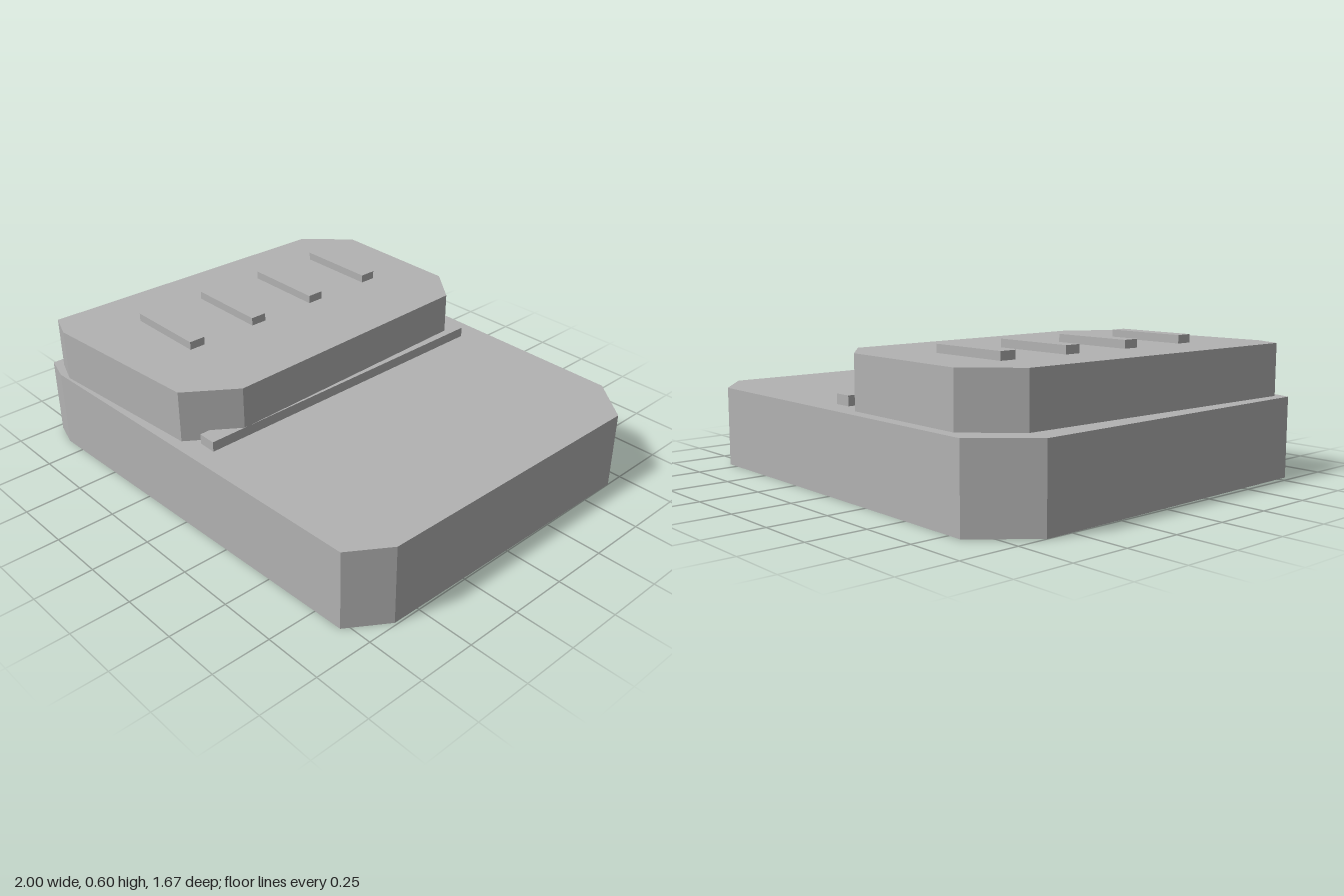
import * as THREE from 'three';

export function createModel() {
  const group = new THREE.Group();
  const grey = new THREE.MeshStandardMaterial({ color: 0xb2b2b2, flatShading: true });
  grey.name = 'stone grey';

  const add = (name, geometry) => {
    const mesh = new THREE.Mesh(geometry, grey);
    mesh.name = name;
    group.add(mesh);
    return mesh;
  };

  // Upright slab from an [x, z] outline
  const slab = (name, outline, y0, y1) => {
    const shape = new THREE.Shape(outline.map(([x, z]) => new THREE.Vector2(x, -z)));
    const geometry = new THREE.ExtrudeGeometry(shape, { depth: y1 - y0, bevelEnabled: false });
    geometry.rotateX(-Math.PI / 2).translate(0, y0, 0);
    return add(name, geometry);
  };

  const box = (name, x0, x1, y0, y1, z0, z1) =>
    add(name, new THREE.BoxGeometry(x1 - x0, y1 - y0, z1 - z0))
      .position.set((x0 + x1) / 2, (y0 + y1) / 2, (z0 + z1) / 2);

  // Wide base with uneven chamfered corners
  slab('baseSlab', [
    [-1, -0.62], [-0.81, -0.84], [0.81, -0.82], [1, -0.665],
    [0.99, 0.615], [0.88, 0.78], [-0.85, 0.835], [-0.97, 0.8],
  ], 0, 0.343);

  // Raised block on one side
  slab('upperSlab', [
    [-0.89, -0.6], [-0.715, -0.787], [-0.11, -0.776], [0.055, -0.645],
    [0.09, 0.56], [-0.055, 0.765], [-0.8, 0.822], [-0.92, 0.777],
  ], 0.343, 0.565);

  // Thin strip along the step
  box('stepStrip', 0.01, 0.09, 0.343, 0.386, -0.725, 0.718);

  // Four ribs on the raised block
  for (let i = 0; i < 4; i++) {
    const z = -0.498 + i * 0.327;
    box('rib' + (i + 1), -0.67, -0.305, 0.565, 0.6, z - 0.036, z + 0.036);
  }

  return group;
}
